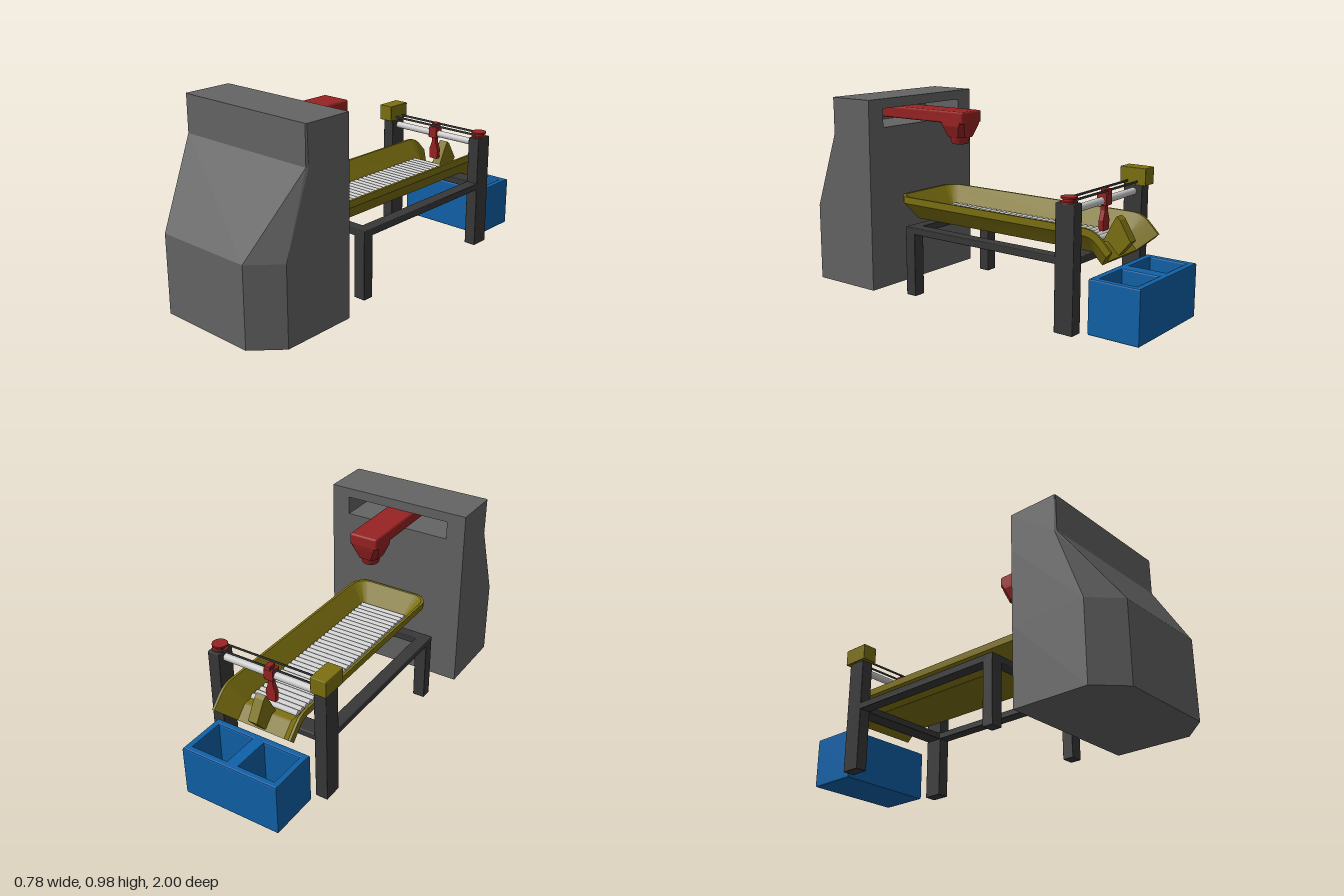
import * as THREE from 'three';
import { toCreasedNormals } from 'three/addons/utils/BufferGeometryUtils.js';
import { RoundedBoxGeometry } from 'three/addons/geometries/RoundedBoxGeometry.js';

const mat = (name, color, side = THREE.FrontSide) => {
  const m = new THREE.MeshStandardMaterial({ color, side });
  m.name = name;
  return m;
};

export function createModel() {
  const grey = mat('housing grey', 0x646464, THREE.DoubleSide);
  const dark = mat('frame charcoal', 0x383838);
  const yellow = mat('tray yellow', 0x7c7010, THREE.DoubleSide);
  const red = mat('arm red', 0x982222);
  const blue = mat('bin blue', 0x0f61a8);
  const steel = mat('roller steel', 0xcccccc);

  const group = new THREE.Group();
  const add = (name, geo, material, x = 0, y = 0, z = 0) => {
    const mesh = new THREE.Mesh(geo, material);
    mesh.name = name;
    mesh.position.set(x, y, z);
    group.add(mesh);
    return mesh;
  };
  // box given by its limits on each axis
  const block = (name, m, x0, x1, y0, y1, z0, z1, r = 0.004) =>
    add(name, new RoundedBoxGeometry(x1 - x0, y1 - y0, z1 - z0, 1, r), m,
      (x0 + x1) / 2, (y0 + y1) / 2, (z0 + z1) / 2);
  // skin over rows of points, plus extra faces given as point lists
  const skin = (rows, extra = []) => {
    const pos = [];
    const face = (p) => {
      for (let i = 1; i < p.length - 1; i++) pos.push(...p[0], ...p[i], ...p[i + 1]);
    };
    for (let j = 0; j < rows.length - 1; j++)
      for (let i = 0; i < rows[j].length - 1; i++)
        face([rows[j][i], rows[j + 1][i], rows[j + 1][i + 1], rows[j][i + 1]]);
    extra.forEach(face);
    const g = new THREE.BufferGeometry();
    g.setAttribute('position', new THREE.Float32BufferAttribute(pos, 3));
    g.computeVertexNormals();
    return g;
  };

  // housing: sections [y, front half-width, front z, side z]
  const rings = [[0, 0.26, 1, 0.87], [0.4, 0.26, 1, 0.87], [0.79, 0.384, 0.74, 0.73], [0.98, 0.384, 0.74, 0.735]]
    .map(([y, w, zf, zs]) => [[0.39, y, 0.48], [0.39, y, zs], [w, y, zf],
      [-w, y, zf], [-0.39, y, zs], [-0.39, y, 0.48]]);
  add('housing', skin(rings, [rings[0], [...rings[3]].reverse()]), grey);

  // back wall with the slot, and the deep recess behind it
  const rect = (P, x0, x1, y0, y1) => new P([[x0, y0], [x1, y0], [x1, y1], [x0, y1]]
    .map(([x, y]) => new THREE.Vector2(x, y)));
  const wall = rect(THREE.Shape, -0.39, 0.39, 0, 0.98);
  wall.holes.push(rect(THREE.Path, -0.29, 0.29, 0.835, 0.93));
  add('housingBack', new THREE.ShapeGeometry(wall).rotateY(Math.PI), grey, 0, 0, 0.48);
  const recess = new THREE.BoxGeometry(0.58, 0.095, 0.24);
  recess.setIndex([...recess.index.array].slice(0, 30)); // leave the -z face open
  add('slotRecess', recess, grey, 0, 0.8825, 0.6);

  // arm and scanning head
  block('arm', red, -0.077, 0.077, 0.853, 0.915, 0.14, 0.71, 0.01);
  const square = (y, w, z0, z1, c) => [[-w + c, z0], [w - c, z0], [w, z0 + c], [w, z1 - c],
    [w - c, z1], [-w + c, z1], [-w, z1 - c], [-w, z0 + c], [-w + c, z0]].map(([x, z]) => [x, y, z]);
  const head = [square(0.865, 0.077, 0.14, 0.295, 0.015), square(0.84, 0.077, 0.145, 0.293, 0.02),
    square(0.78, 0.055, 0.163, 0.275, 0.025)].reverse();
  add('head', skin(head, [head[0].slice(0, 8)]), red);
  add('headCollar', new THREE.CylinderGeometry(0.052, 0.042, 0.036, 24), red, 0, 0.763, 0.219);

  // frame
  for (const s of [-1, 1]) {
    const x0 = s > 0 ? 0.26 : -0.325, x1 = x0 + 0.065;
    block('frontLeg', dark, x0, x1, 0, 0.355, 0.245, 0.305);
    block('rearPost', dark, x0, x1, 0, 0.6, -0.7, -0.6);
    block('sideRail', dark, x0, x1, 0.32, 0.355, -0.62, 0.27);
  }
  block('frontCrossbar', dark, -0.28, 0.28, 0.32, 0.355, 0.245, 0.305);
  block('rearCrossbar', dark, -0.28, 0.28, 0.32, 0.355, -0.695, -0.605);

  // tray: plan outlines [half-width, front z, y, corner radius] from underside to inner floor
  const pivotZ = -0.685, baseY = 0.355;
  const bend = (x, y, a, len) => { // stations past the pivot turn downhill
    const h = y - baseY;
    return [x, baseY + h * Math.cos(a) - len * Math.sin(a), pivotZ - h * Math.sin(a) - len * Math.cos(a)];
  };
  const outline = ([w, zf, y, r]) => {
    const half = [[Math.PI / 4, 0.078], [Math.PI / 4, 0], [Math.PI / 6, 0], [Math.PI / 12, 0], [0, 0]]
      .map(([a, len]) => bend(w, y, a, len));
    for (let i = 0; i <= 6; i++) {
      const a = i * Math.PI / 12;
      half.push([Math.max(w - r, 0) + Math.min(r, w) * Math.cos(a), y, zf - r + r * Math.sin(a)]);
    }
    return [...half, ...half.map(([x, yy, z]) => [-x, yy, z]).reverse()];
  };
  const rows = [[0, 0.4, 0.355, 0.03], [0.15, 0.4, 0.355, 0.03], [0.218, 0.465, 0.44, 0.08],
    [0.218, 0.465, 0.475, 0.08], [0.205, 0.452, 0.475, 0.07], [0.13, 0.375, 0.375, 0.02],
    [0, 0.375, 0.375, 0.02]].map(outline);
  const ends = [];
  for (const i of [0, rows[0].length - 1])
    for (const f of [[0, 1, 5, 6], [1, 2, 4, 5], [2, 3, 4]]) ends.push(f.map((k) => rows[k][i]));
  add('tray', toCreasedNormals(skin(rows, ends), 0.5), yellow);

  // rollers on the tray floor
  const roller = new THREE.CylinderGeometry(0.0155, 0.0155, 0.26, 10).rotateZ(Math.PI / 2);
  for (let i = 0; i < 31; i++) add('roller', roller, steel, 0, 0.379, 0.355 - i * 0.033);

  // divider splitting the chute in two
  const fin = new THREE.Shape([[0.66, 0.365], [0.715, 0.47], [0.732, 0.5], [0.752, 0.485], [0.81, 0.39], [0.75, 0.32]]
    .map(([z, y]) => new THREE.Vector2(z, y)));
  add('chuteDivider', new THREE.ExtrudeGeometry(fin, { depth: 0.05, bevelEnabled: false })
    .translate(0, 0, -0.025).rotateY(Math.PI / 2), yellow);

  // sorting gate: motor, guide tube, belt, pulley
  block('motor', yellow, -0.338, -0.256, 0.595, 0.68, -0.72, -0.58);
  add('guideTube', new THREE.CylinderGeometry(0.018, 0.018, 0.54, 20).rotateZ(Math.PI / 2), steel, 0, 0.563, -0.652);
  add('pulleyHub', new THREE.CylinderGeometry(0.026, 0.026, 0.03, 20), red, 0.29, 0.61, -0.65);
  for (const y of [0.603, 0.624])
    add('pulleyFlange', new THREE.CylinderGeometry(0.038, 0.038, 0.008, 20), red, 0.29, y, -0.65);
  for (const z of [-0.676, -0.624])
    add('belt', new THREE.BoxGeometry(0.56, 0.011, 0.003), dark, 0.01, 0.613, z);

  // carriage with its paddle
  block('carriage', red, -0.026, 0.026, 0.54, 0.6, -0.678, -0.626);
  block('beltClamp', red, -0.016, 0.016, 0.595, 0.62, -0.682, -0.64, 0.003);
  const paddle = new THREE.Shape([[-0.012, 0.55], [-0.012, 0.515], [-0.028, 0.47], [-0.024, 0.42],
    [0.024, 0.42], [0.028, 0.47], [0.012, 0.515], [0.012, 0.55]].map(([x, y]) => new THREE.Vector2(x, y)));
  add('paddle', new THREE.ExtrudeGeometry(paddle, { depth: 0.024, bevelEnabled: false }), red, 0, 0, -0.664);

  // two-compartment bin
  const bevel = 0.008;
  const rim = rect(THREE.Shape, -0.252, 0.252, 0.748, 0.992);
  rim.holes.push(rect(THREE.Path, -0.235, -0.025, 0.768, 0.972), rect(THREE.Path, 0.025, 0.235, 0.768, 0.972));
  add('binWalls', new THREE.ExtrudeGeometry(rim, {
    depth: 0.265 - 2 * bevel, bevelSize: bevel, bevelThickness: bevel, bevelSegments: 2,
  }).rotateX(-Math.PI / 2), blue, 0, bevel, 0);
  block('binFloor', blue, -0.25, 0.25, 0.001, 0.03, -0.99, -0.75, 0.002);

  return group;
}
